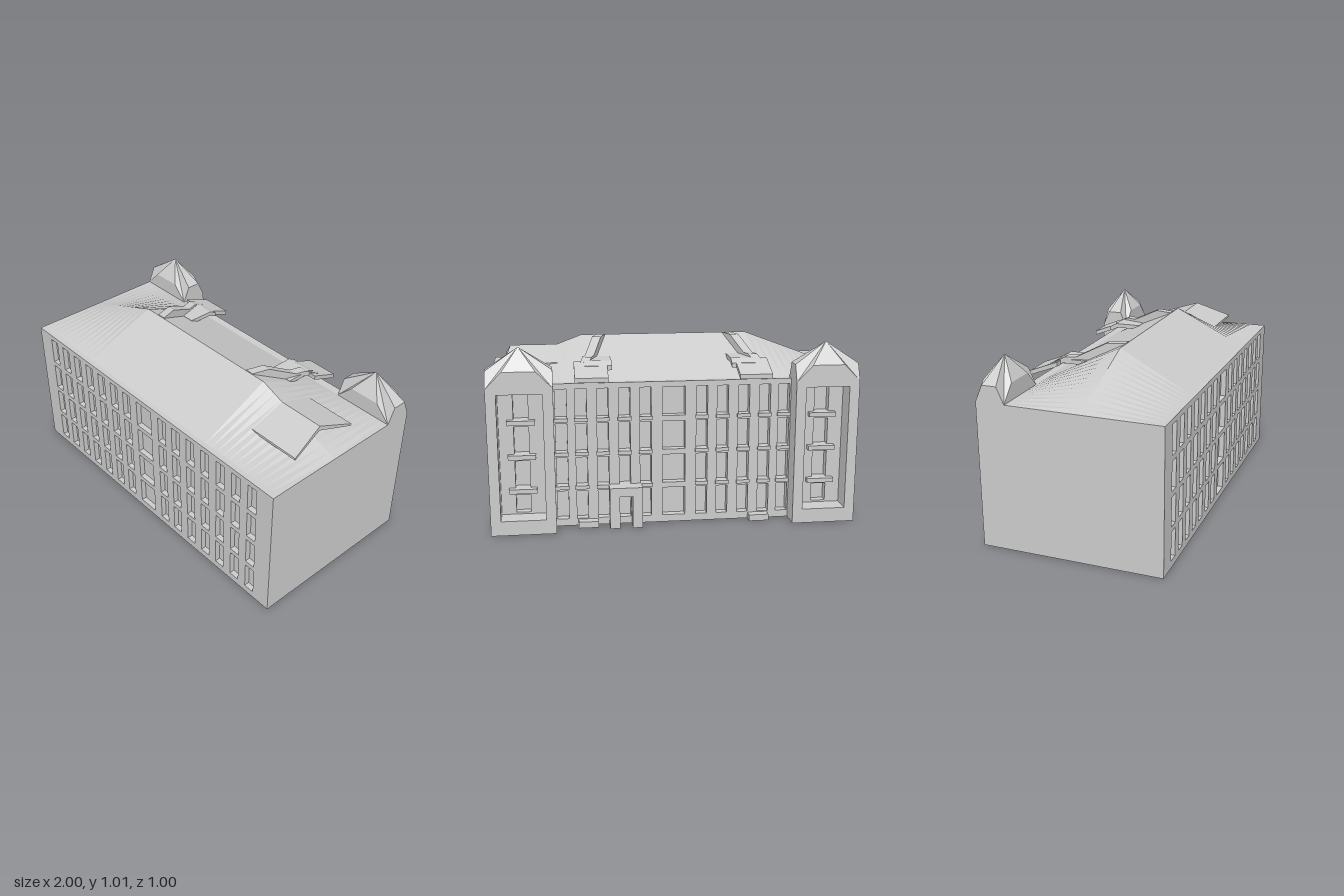
import * as THREE from 'three';

const grey = new THREE.MeshStandardMaterial({ color: 0xcccccc, flatShading: true, side: THREE.DoubleSide });

export function createModel() {
  const model = new THREE.Group();

  const add = (name, geometry) => {
    const mesh = new THREE.Mesh(geometry, grey);
    mesh.name = name;
    model.add(mesh);
    return mesh;
  };

  // Box given by its limits
  const block = (name, x0, x1, y0, y1, z0, z1) => {
    const g = new THREE.BoxGeometry(Math.abs(x1 - x0), y1 - y0, z1 - z0);
    return add(name, g.translate((x0 + x1) / 2, (y0 + y1) / 2, (z0 + z1) / 2));
  };

  // Wall slab facing z, pierced by rectangular openings [x0, x1, y0, y1]
  const rect = (Type, x0, x1, y0, y1) =>
    new Type([[x0, y0], [x1, y0], [x1, y1], [x0, y1]].map(p => new THREE.Vector2(...p)));
  const wall = (name, x0, x1, y0, y1, z0, z1, openings) => {
    const shape = rect(THREE.Shape, x0, x1, y0, y1);
    shape.holes = openings.map(o => rect(THREE.Path, ...o));
    const g = new THREE.ExtrudeGeometry(shape, { depth: z1 - z0, bevelEnabled: false });
    return add(name, g.translate(0, 0, z0));
  };

  // Outline of [z, y] points extruded along x, with an optional sideways warp
  const profile = (name, points, x0, x1, warp) => {
    const shape = new THREE.Shape(points.map(p => new THREE.Vector2(...p)));
    const g = new THREE.ExtrudeGeometry(shape, { depth: x1 - x0, bevelEnabled: false });
    g.rotateY(-Math.PI / 2).translate(x1, 0, 0);
    if (warp) {
      const p = g.attributes.position;
      for (let i = 0; i < p.count; i++) p.setX(i, warp(p.getX(i), p.getZ(i)));
      g.computeVertexNormals();
    }
    return add(name, g);
  };

  const surface = (name, triangles) => {
    const g = new THREE.BufferGeometry();
    g.setAttribute('position', new THREE.Float32BufferAttribute(triangles.flat(2), 3));
    g.computeVertexNormals();
    return add(name, g);
  };

  const rows = [0.04, 0.23, 0.42, 0.61];
  const windows = columns => columns.flatMap(([x, w]) =>
    rows.map(y => [x - w / 2, x + w / 2, y, y + 0.16]));
  const pair = list => list.flatMap(x => [[x, 0.062], [-x, 0.062]]);

  // Main body and window walls
  block('mainBody', -1, 1, 0, 0.8, -0.34, 0.47);
  const frontColumns = [[0, 0.125], ...pair([0.155, 0.27, 0.388, 0.505, 0.623, 0.74, 0.857])];
  wall('frontWall', -1, 1, 0, 0.8, 0.47, 0.5, windows(frontColumns));
  const rearColumns = [[0, 0.125], ...pair([0.155, 0.27, 0.388, 0.505, 0.612])];
  wall('rearWall', -0.65, 0.65, 0, 0.8, -0.385, -0.34, windows(rearColumns));
  for (const [x, w] of rearColumns.slice(1))
    for (const y of rows.slice(1))
      block('windowSill', x - w / 2 - 0.006, x + w / 2 + 0.006, y - 0.02, y, -0.395, -0.35);

  // Main roof: a gable whose ridge falls away to the eaves at both ends
  const ridge = x => 0.8 + 0.195 * Math.min(1, (1 - Math.abs(x)) / 0.52);
  const stations = [];
  for (let i = 0; i <= 12; i++) stations.push(-1 + 0.52 * i / 12);
  stations.push(...stations.map(x => -x).reverse());
  const roof = [];
  for (let i = 0; i < stations.length - 1; i++) {
    const a = stations[i], b = stations[i + 1];
    const ra = [a, ridge(a), 0.07], rb = [b, ridge(b), 0.07];
    const fa = [a, 0.8, 0.47], fb = [b, 0.8, 0.47];
    const ba = [a, 0.8, -0.34], bb = [b, 0.8, -0.34];
    roof.push([fa, fb, rb], [fa, rb, ra], [ba, ra, rb], [ba, rb, bb]);
  }
  surface('mainRoof', roof);

  // Small gabled roof on the left end
  profile('endGable',
    [[0.275, 0.87], [0.07, 0.942], [-0.135, 0.87], [-0.135, 0.857], [0.07, 0.915], [0.275, 0.857]],
    0.6, 0.885, (x, z) => x > 0.8 ? x + Math.abs(z - 0.07) * 0.17 : x);

  for (const s of [-1, 1]) {
    const span = (a, b) => s > 0 ? [a, b] : [-b, -a];

    // Raised rear roof strip that drifts outward as it descends, its shoulder and eave slab
    const drift = (x, z) => x + s * (0.06 - z) * 0.3;
    profile('roofStrip',
      [[0.065, 0.996], [-0.03, 0.996], [-0.19, 0.916], [-0.245, 0.916], [-0.34, 0.87],
        [-0.34, 0.845], [-0.25, 0.885], [-0.14, 0.89], [0.065, 0.98]],
      ...span(0.345, 0.395), drift);
    profile('roofShoulder',
      [[-0.13, 0.902], [-0.28, 0.902], [-0.32, 0.88], [-0.32, 0.855], [-0.27, 0.877], [-0.13, 0.88]],
      ...span(0.33, 0.48));
    profile('eaveSlab',
      [[-0.27, 0.898], [-0.43, 0.835], [-0.43, 0.81], [-0.27, 0.873]], ...span(0.355, 0.535));

    // Corner tower with a deep niche, windows and ledges
    const [x0, x1] = span(0.65, 1), c = s * 0.825;
    wall('towerFront', x0, x1, 0, 0.8, -0.5, -0.385, [[c - 0.12, c + 0.12, 0.08, 0.77]]);
    const towerWindows = rows.map((y, i) => [c - 0.04, c + 0.04, i ? y : 0.09, Math.min(y + 0.15, 0.75)]);
    wall('towerBackWall', x0, x1, 0, 0.8, -0.385, -0.34, towerWindows);
    for (const y of rows.slice(1))
      block('towerLedge', c - 0.075, c + 0.075, y - 0.025, y, -0.42, -0.36);

    // Tower roof: four clipped gables meeting at a point
    const apex = [c, 1.008, -0.42];
    const corners = [[x0, -0.34], [x1, -0.34], [x1, -0.5], [x0, -0.5]];
    const faces = [];
    corners.forEach((p, i) => {
      const q = corners[(i + 1) % 4];
      const at = (t, y) => [p[0] + (q[0] - p[0]) * t, y, p[1] + (q[1] - p[1]) * t];
      const a = at(0, 0.8), b = at(0.25, 0.89), d = at(0.75, 0.89), e = at(1, 0.8);
      faces.push([a, e, d], [a, d, b], [a, b, apex], [b, d, apex], [d, e, apex]);
    });
    surface('towerRoof', faces);

    // Low steps at the foot of the rear wall
    block('rearStep', ...span(0.42, 0.53), 0, 0.035, -0.435, -0.385);
  }

  // Rear porch: two piers under a lintel
  block('porchPier', 0.18, 0.235, 0, 0.18, -0.465, -0.385);
  block('porchPier', 0.305, 0.36, 0, 0.18, -0.465, -0.385);
  block('porchLintel', 0.18, 0.36, 0.18, 0.23, -0.465, -0.385);

  return model;
}
